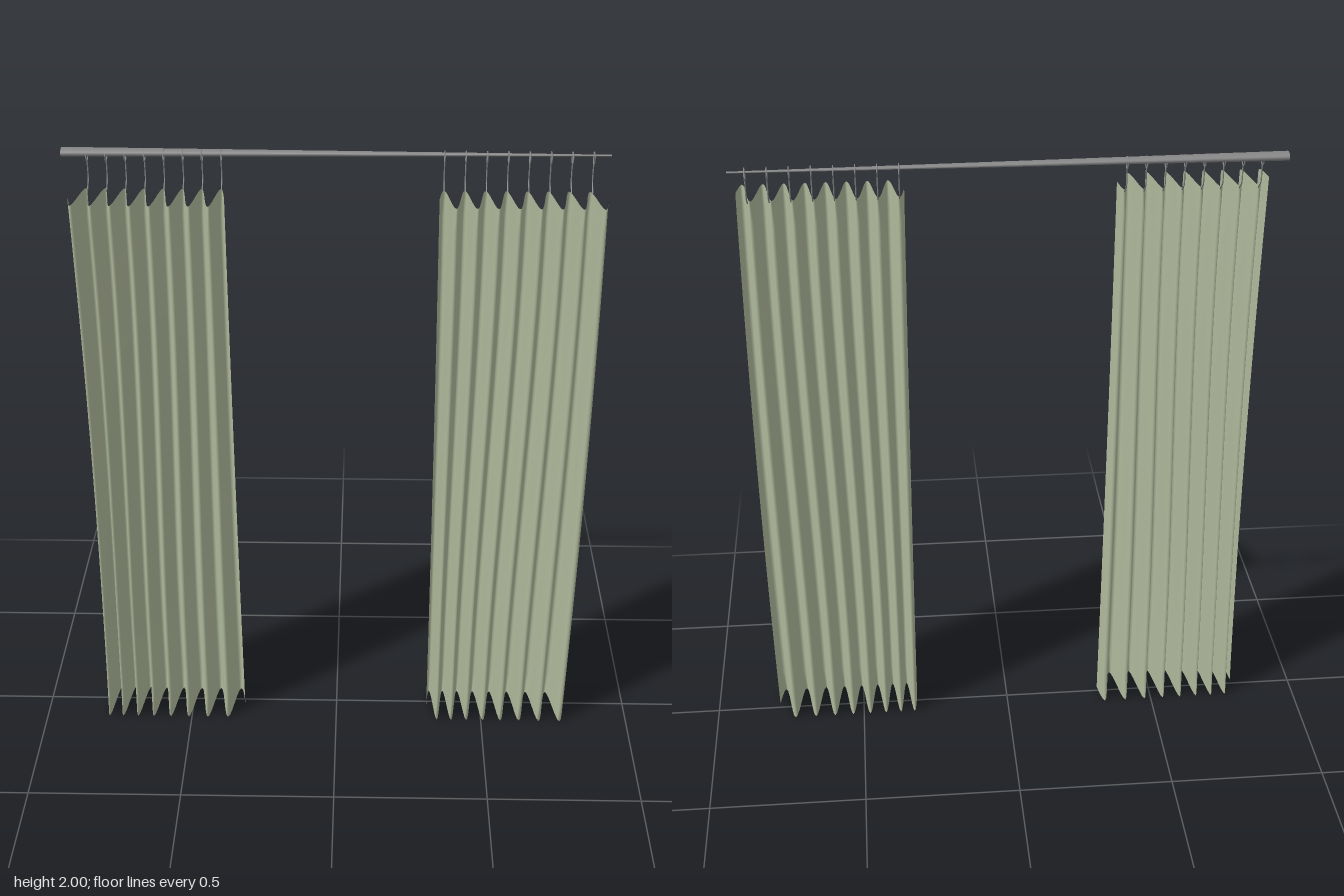
import * as THREE from 'three';

const FOLDS = 8, TOP = 1.885, MID_Z = 0.02, ROD_Y = 1.987, ROD_Z = -0.081;

// Pleated sheet: sideways wave whose folds drift and widen on the way down.
function pleatedPanel(topX, midX, bottomX, phaseSign, drift, material) {
  const geo = new THREE.PlaneGeometry(1, 1, FOLDS * 12, 24);
  const pos = geo.attributes.position;
  const curve = (a, b, c, t) => a * (1 - t) * (1 - 2 * t) + b * 4 * t * (1 - t) + c * t * (2 * t - 1);
  for (let i = 0; i < pos.count; i++) {
    const u = pos.getX(i) + 0.5;
    const t = 0.5 - pos.getY(i); // 0 at the top, 1 at the hem
    const x0 = curve(topX[0], midX[0], bottomX[0], t);
    const x1 = curve(topX[1], midX[1], bottomX[1], t);
    const lean = -drift * THREE.MathUtils.smoothstep(t, 0, 0.9) * 4 * u * (1 - u);
    const depth = curve(0.071, 0.067, 0.08, t);
    const wave = Math.sin(u * FOLDS * Math.PI * 2) * phaseSign;
    pos.setXYZ(i, THREE.MathUtils.lerp(x0, x1, u) + lean, TOP * (1 - t), MID_Z + depth * wave);
  }
  geo.computeVertexNormals();
  return new THREE.Mesh(geo, material);
}

// Ring around the rod with a bent wire reaching down to a rear fold.
function curtainHook(x, material) {
  const hook = new THREE.Group();
  hook.name = 'curtainHook';
  const ring = new THREE.Mesh(new THREE.TorusGeometry(0.018, 0.002, 6, 16), material);
  ring.name = 'hookRing';
  ring.rotation.y = Math.PI / 2;
  ring.position.set(0, 1.979, -0.078);
  const path = new THREE.CatmullRomCurve3([
    new THREE.Vector3(0, 1.961, -0.078),
    new THREE.Vector3(0, 1.93, -0.079),
    new THREE.Vector3(0, 1.904, -0.076),
    new THREE.Vector3(0, 1.892, -0.062),
    new THREE.Vector3(0, 1.88, -0.05),
  ]);
  const wire = new THREE.Mesh(new THREE.TubeGeometry(path, 12, 0.002, 6), material);
  wire.name = 'hookWire';
  hook.add(ring, wire);
  hook.position.x = x;
  return hook;
}

export function createModel() {
  const model = new THREE.Group();
  model.name = 'curtains';
  const fabric = new THREE.MeshStandardMaterial({ color: 0xb0ba9c, side: THREE.DoubleSide });
  fabric.name = 'sage fabric';
  const metal = new THREE.MeshStandardMaterial({ color: 0x858585 });
  metal.name = 'grey metal';

  // Tapering, slightly flattened rod, thick end at -x
  const rodGeo = new THREE.CylinderGeometry(0.022, 0.004, 1.63, 16);
  rodGeo.rotateZ(Math.PI / 2);
  rodGeo.scale(1, 0.6, 1);
  const rod = new THREE.Mesh(rodGeo, metal);
  rod.name = 'curtainRod';
  rod.position.set(-0.005, ROD_Y, ROD_Z);
  model.add(rod);

  // Two panels; the second one starts with a rear fold
  const right = pleatedPanel([-0.793, -0.332], [-0.786, -0.328], [-0.797, -0.32], 1, 0.03, fabric);
  right.name = 'rightCurtain';
  const left = pleatedPanel([0.302, 0.797], [0.31, 0.802], [0.314, 0.79], -1, 0.03, fabric);
  left.name = 'leftCurtain';
  model.add(right, left);

  // One hook for each rear fold
  for (let i = 0; i < FOLDS; i++) {
    model.add(curtainHook(-0.745 + i * 0.0571, metal));
    model.add(curtainHook(0.318 + i * 0.063, metal));
  }
  return model;
}
